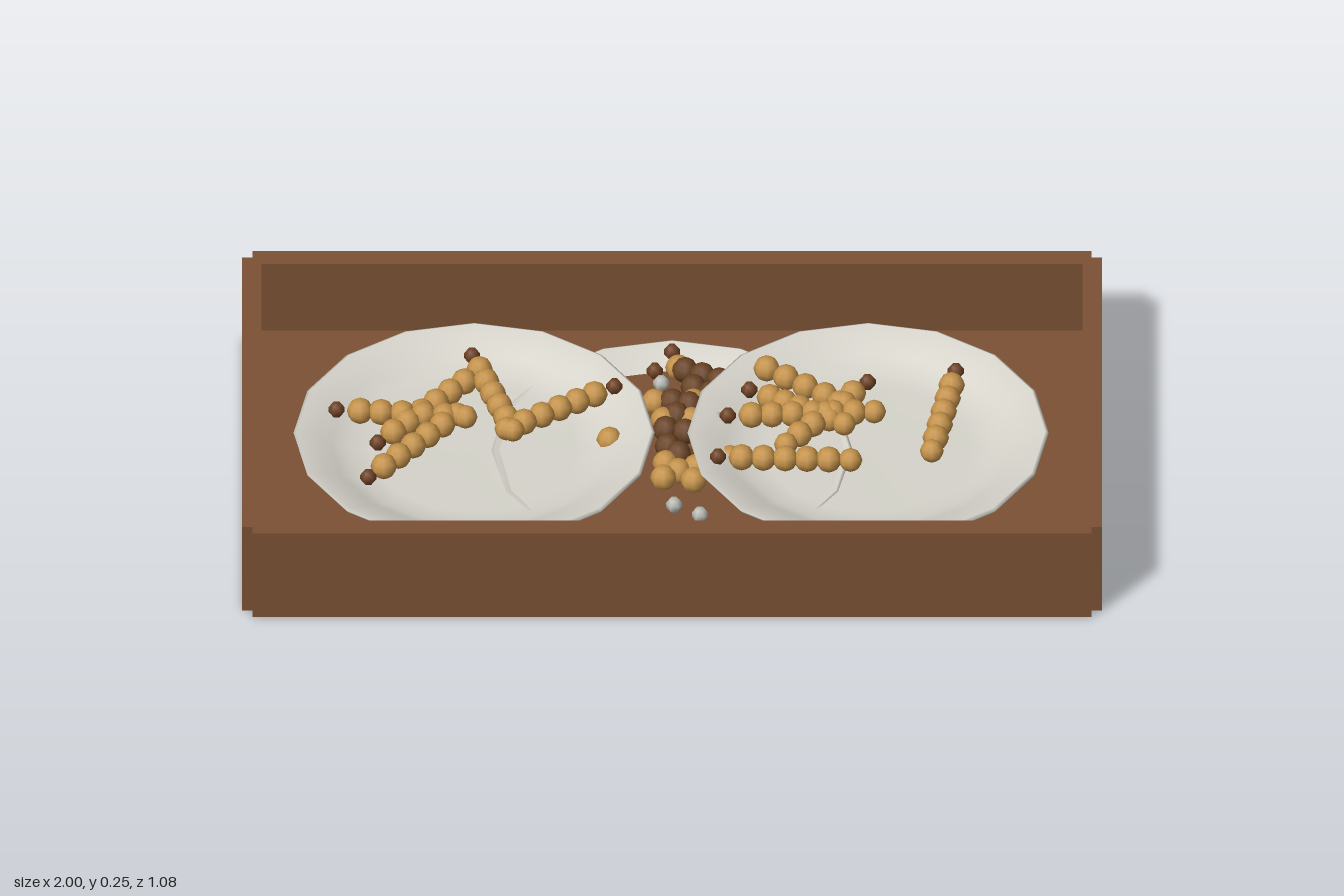
import * as THREE from 'three';

const mat = (name, color) => {
  const m = new THREE.MeshStandardMaterial({ color });
  m.name = name;
  return m;
};

export function createModel() {
  const wood = mat('wood', 0x7b5135);
  const china = mat('china', 0xd6d4cb);
  const gold = mat('larvaGold', 0xc4924a);
  const headBrown = mat('headBrown', 0x6e4224);
  const pupaBrown = mat('pupaBrown', 0x6a4426);
  const stone = mat('stone', 0xb9bab4);

  const model = new THREE.Group();
  model.name = 'insectTray';

  const add = (parent, name, geo, material, x, y, z) => {
    const mesh = new THREE.Mesh(geo, material);
    mesh.name = name;
    mesh.position.set(x, y, z);
    parent.add(mesh);
    return mesh;
  };

  // Tray: floor and four walls, with small notches at the corners
  const tray = new THREE.Group();
  tray.name = 'tray';
  model.add(tray);
  add(tray, 'floor', new THREE.BoxGeometry(1.95, 0.05, 1.03), wood, 0, 0.025, 0);
  for (const s of [-1, 1]) {
    add(tray, s > 0 ? 'frontWall' : 'backWall', new THREE.BoxGeometry(1.95, 0.245, 0.05), wood, 0, 0.1225, s * 0.515);
    add(tray, s > 0 ? 'leftWall' : 'rightWall', new THREE.BoxGeometry(0.045, 0.245, 1.03), wood, s * 0.9775, 0.1225, 0);
  }

  // Shallow dishes: the middle one sinks through the floor
  const profile = [
    [0, 0], [0.31, 0], [0.37, 0.03], [0.415, 0.068], [0.42, 0.076], [0.412, 0.08],
    [0.37, 0.064], [0.335, 0.05], [0.295, 0.03], [0.24, 0.027], [0, 0.025],
  ].map(([x, y]) => new THREE.Vector2(x, y));
  const dish = new THREE.LatheGeometry(profile, 16);
  add(model, 'middleDish', dish, china, 0, -0.0006, 0);
  add(model, 'leftDish', dish, china, 0.456, 0.05, 0);
  add(model, 'rightDish', dish, china, -0.46, 0.05, 0);

  // Larvae: a small dark head followed by a row of beads
  const bead = new THREE.SphereGeometry(0.031, 8, 6);
  const headGeo = new THREE.SphereGeometry(0.02, 6, 5);
  const larva = (hx, hz, tx, tz, n, y = 0.127) => {
    const g = new THREE.Group();
    g.name = 'larva';
    model.add(g);
    const dx = tx - hx, dz = tz - hz, len = Math.hypot(dx, dz);
    add(g, 'head', headGeo, headBrown, hx, y, hz);
    for (let i = 0; i < n; i++) {
      const t = (0.055 + (len - 0.055) * i / (n - 1)) / len;
      const b = add(g, 'segment', bead, gold, hx + dx * t, y, hz + dz * t);
      b.scale.setScalar(i === n - 1 ? 0.9 : 1);
    }
  };

  // Right dish
  larva(-0.78, -0.088, -0.48, -0.06, 6);
  larva(-0.465, -0.294, -0.37, -0.01, 6);
  larva(-0.706, 0.17, -0.50, -0.07, 6);
  larva(-0.684, 0.032, -0.45, -0.24, 7, 0.122);
  larva(-0.134, -0.176, -0.385, -0.015, 6);
  // Left dish
  larva(0.455, -0.193, 0.265, 0.045, 6);
  larva(0.18, -0.17, 0.40, -0.04, 6, 0.122);
  larva(0.13, -0.065, 0.47, -0.08, 7);
  larva(0.107, 0.092, 0.415, 0.105, 6);
  larva(0.66, -0.235, 0.604, 0.07, 6);
  for (let i = 0; i < 5; i++) {
    add(model, 'larvaSegment', bead, gold, 0.22 + i * 0.045, 0.127, -0.245 + i * 0.034);
  }

  // Middle dish: dark pupae, half-buried larvae and pebbles
  const scatter = (name, geo, material, y, spots) =>
    spots.forEach(([x, z]) => add(model, name, geo, material, x, y, z));
  scatter('pupa', bead, pupaBrown, 0.08, [
    [0.03, -0.3], [0.07, -0.28], [0.11, -0.26], [0.05, -0.235], [0.09, -0.21], [0, -0.18],
    [0.04, -0.17], [0.01, -0.13], [-0.015, -0.075], [0.03, -0.065], [-0.01, -0.01], [0.015, 0.02],
  ]);
  scatter('buriedLarva', bead, gold, 0.072, [
    [-0.04, -0.19], [-0.02, -0.12], [0.05, -0.19], [0.015, -0.32], [0.045, -0.12],
    [-0.015, 0.045], [0.015, 0.075], [0.05, 0.11], [0.055, 0.06], [-0.02, 0.1],
  ]);
  add(model, 'larvaSegment', bead, gold, -0.145, 0.085, -0.027);
  add(model, 'larvaSegment', bead, gold, 0.135, 0.075, 0.03);
  scatter('beetleHead', headGeo, headBrown, 0.085, [[0, -0.363], [-0.04, -0.29], [0.06, 0.02]]);
  scatter('pebble', headGeo, stone, 0.095, [[-0.025, -0.23], [0.005, 0.235], [0.065, 0.272], [0.105, -0.09]]);

  return model;
}
